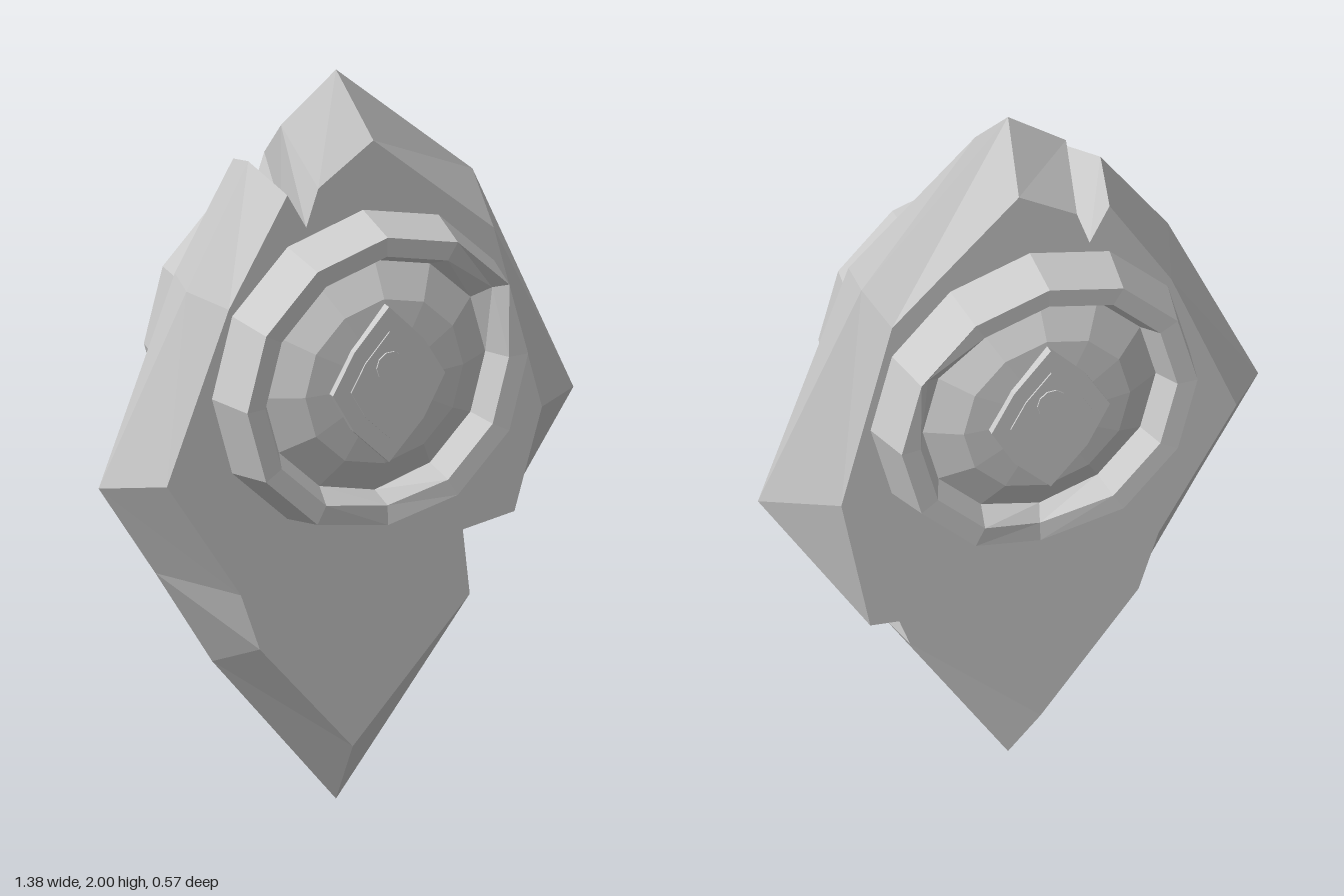
import * as THREE from 'three';

const stone = new THREE.MeshStandardMaterial({ color: 0xcccccc, flatShading: true });
const CENTRE_Y = 1.235;
const HALF = 0.14;

function addMesh(parent, name, geometry) {
  const mesh = new THREE.Mesh(geometry, stone);
  mesh.name = name;
  parent.add(mesh);
  return mesh;
}

// Chipped diamond slab: three outlines (front face, outer ridge, back face), clockwise from the top
function slabGeometry() {
  const ridge = [
    [0, 2, 0], [0.43, 1.62, -0.06], [0.69, 0.99, 0], [0.5, 0.71, 0], [0.33, 0.68, 0],
    [0.345, 0.52, 0.03], [0, 0, 0], [-0.36, 0.45, 0], [-0.525, 0.725, 0], [-0.69, 0.99, 0],
    [-0.46, 1.5, 0.045], [-0.255, 1.8, 0], [-0.16, 1.65, 0], [-0.16, 1.88, 0],
  ];
  const face = [
    [0.03, 1.85], [0.38, 1.54], [0.52, 1.02], [0.44, 0.75], [0.29, 0.73],
    [0.31, 0.55], [-0.03, 0.2], [-0.3, 0.52], [-0.355, 0.68], [-0.57, 1.02],
    [-0.39, 1.47], [-0.22, 1.75], [-0.165, 1.65], [-0.13, 1.75],
  ];
  const front = face.map(([x, y]) => [x, y, HALF]);
  const back = face.map(([x, y]) => [x, y, -HALF]);
  // the side notch slants down toward the back
  back[3] = [0.44, 0.62, -HALF];
  back[4] = [0.36, 0.61, -HALF];
  back[5] = [0.33, 0.53, -HALF];

  const pos = [];
  const tri = (a, b, c) => pos.push(...a, ...b, ...c);
  const n = ridge.length;
  for (const [p, q] of [[front, ridge], [ridge, back]]) {
    for (let i = 0; i < n; i++) {
      const j = (i + 1) % n;
      tri(p[i], p[j], q[j]);
      tri(p[i], q[j], q[i]);
    }
  }
  for (const [ring, sign] of [[front, 1], [back, -1]]) {
    const pts = ring.map(([x, y]) => new THREE.Vector2(x, y));
    for (const [a, b, c] of THREE.ShapeUtils.triangulateShape(pts, [])) {
      const area = THREE.ShapeUtils.area([pts[a], pts[b], pts[c]]);
      if (area * sign > 0) tri(ring[a], ring[b], ring[c]);
      else tri(ring[a], ring[c], ring[b]);
    }
  }
  const geo = new THREE.BufferGeometry();
  geo.setAttribute('position', new THREE.Float32BufferAttribute(pos, 3));
  geo.computeVertexNormals();
  return geo;
}

// Twelve-sided raised rim, sunken groove and domed centre, with two chips in the rim
function medallionGeometry() {
  const profile = [
    [0.433, 0.13], [0.4, 0.268], [0.347, 0.265], [0.315, 0.2], [0.225, 0.25], [0, 0.27],
  ].map(([r, h]) => new THREE.Vector2(r, h));
  const geo = new THREE.LatheGeometry(profile, 12);
  geo.rotateX(Math.PI / 2);
  geo.scale(1.02, 1, 1);
  const p = geo.attributes.position;
  for (let i = 0; i < p.count; i++) {
    const x = p.getX(i), y = p.getY(i), z = p.getZ(i);
    const r = Math.hypot(x, y);
    if (z < 0.26 || r < 0.3) continue;
    const bottomChip = Math.abs(x) < 0.01 && y < 0;
    const sideChip = x > 0.28 && y > 0.15 && y < 0.19 && r < 0.37;
    if (bottomChip) p.setXYZ(i, x + 0.015, y, z - 0.025);
    if (sideChip) p.setXYZ(i, x * 1.05, y * 1.08, z - 0.03);
  }
  geo.computeVertexNormals();
  return geo;
}

// Thin plate standing between two depths
function plateGeometry(shape, z0, z1) {
  const geo = new THREE.ExtrudeGeometry(shape, { depth: z1 - z0, bevelEnabled: false, curveSegments: 5 });
  return geo.translate(0, 0, z0);
}

function lozenge(w, h) {
  const pts = [[0, -h], [w * 0.62, -h * 0.52], [w, 0], [w * 0.62, h * 0.5], [0, h],
    [-w * 0.62, h * 0.5], [-w, 0], [-w * 0.62, -h * 0.52]];
  return new THREE.Shape(pts.map(([x, y]) => new THREE.Vector2(x, y)));
}

export function createModel() {
  const model = new THREE.Group();
  model.name = 'stoneTalisman';
  addMesh(model, 'slab', slabGeometry());

  // The same medallion on both faces
  for (const side of [1, -1]) {
    const group = new THREE.Group();
    group.name = side > 0 ? 'frontMedallion' : 'backMedallion';
    group.position.y = CENTRE_Y;
    group.scale.z = side;
    addMesh(group, 'rimAndDome', medallionGeometry());
    addMesh(group, 'outerLozenge', plateGeometry(lozenge(0.163, 0.213), 0.25, 0.275));
    addMesh(group, 'innerLozenge', plateGeometry(lozenge(0.112, 0.146), 0.26, 0.279));
    const dot = new THREE.Shape().absarc(0, 0.053, 0.04, 0, Math.PI * 2);
    addMesh(group, 'centreDot', plateGeometry(dot, 0.265, 0.283));
    model.add(group);
  }
  return model;
}
